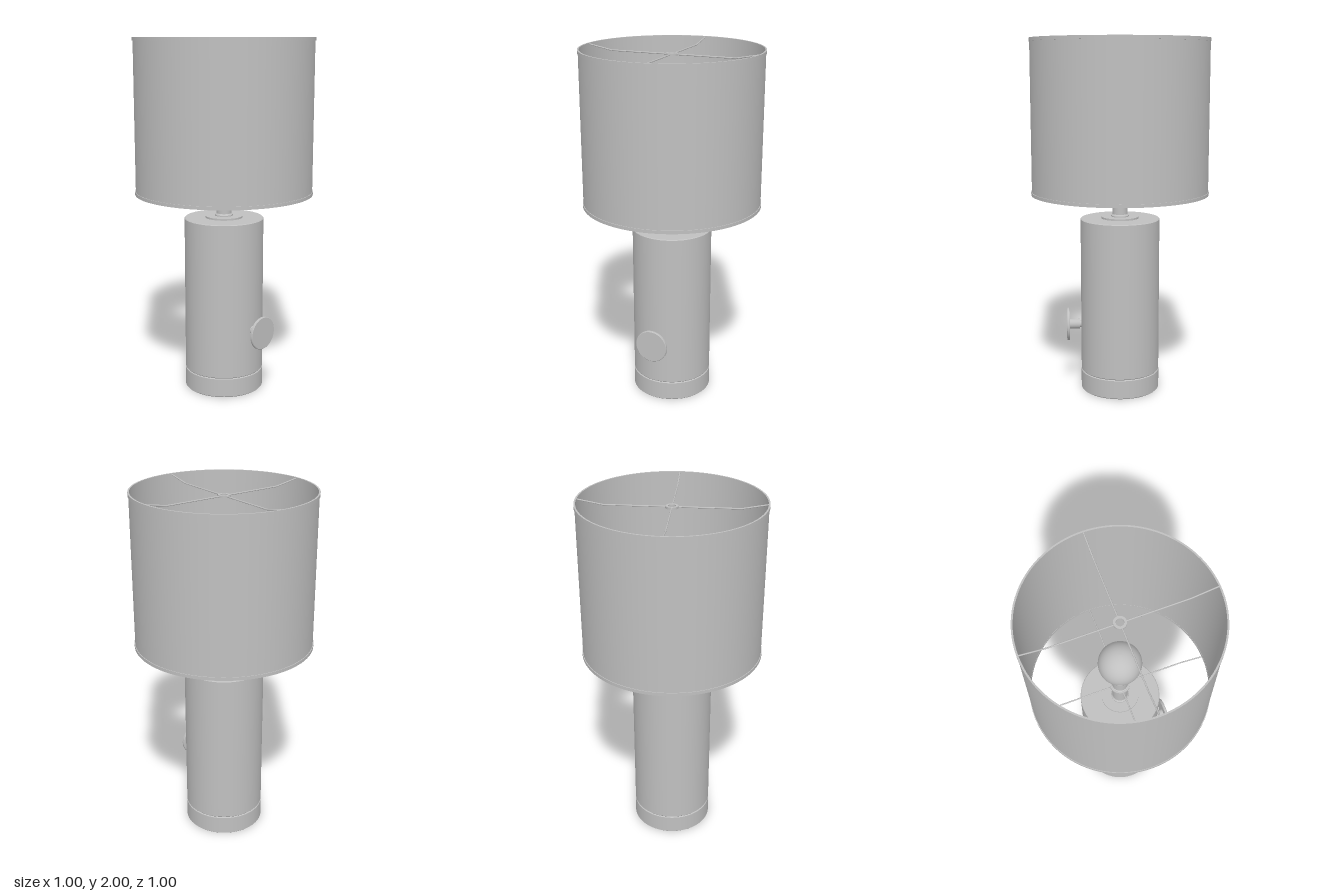
import * as THREE from 'three';

const grey = new THREE.MeshStandardMaterial({ color: 0xc0c0c0 });
grey.name = 'grey';

function add(parent, name, geometry, y = 0) {
  const mesh = new THREE.Mesh(geometry, grey);
  mesh.name = name;
  mesh.position.y = y;
  parent.add(mesh);
  return mesh;
}

// Turned solid with crisp edges: doubled profile points split the normals
function turned(points, segments = 64) {
  const profile = [];
  points.forEach(([r, y], i) => {
    profile.push(new THREE.Vector2(r, y));
    if (i > 0 && i < points.length - 1) profile.push(new THREE.Vector2(r, y));
  });
  return new THREE.LatheGeometry(profile, segments);
}

// Closed tube wall: outer radius, inner radius, bottom and top
function sleeve(outer, inner, y0, y1, segments = 96) {
  return turned([[inner, y0], [outer, y0], [outer, y1], [inner, y1], [inner, y0]], segments);
}

// Four bent wires around a hub ring; the ends rise or fall to the shade rim
function makeSpider(name, hubY, endY, hubOuter, hubInner) {
  const spider = new THREE.Group();
  spider.name = name;
  add(spider, 'hubRing', sleeve(hubOuter, hubInner, hubY - 0.006, hubY + 0.006, 32));
  const path = new THREE.CurvePath();
  const hub = new THREE.Vector3(hubInner + 0.005, hubY, 0);
  const bend = new THREE.Vector3(0.355, hubY, 0);
  const end = new THREE.Vector3(0.491, endY, 0);
  path.add(new THREE.LineCurve3(hub, bend));
  path.add(new THREE.LineCurve3(bend, end));
  const wire = new THREE.TubeGeometry(path, 24, 0.004, 8);
  for (let i = 0; i < 4; i++) {
    add(spider, 'spiderWire', wire).rotation.y = i * Math.PI / 2;
  }
  return spider;
}

export function createModel() {
  const lamp = new THREE.Group();
  lamp.name = 'tableLamp';

  // Base band and column, with a fine groove between them
  add(lamp, 'baseBand', turned([[0, 0], [0.22, 0], [0.225, 0.005], [0.225, 0.108], [0.22, 0.113], [0, 0.113]]));
  add(lamp, 'column', turned([[0, 0.112], [0.22, 0.112], [0.224, 0.117], [0.224, 0.996], [0.22, 1], [0, 1]]));

  // Neck flange, stem and socket
  add(lamp, 'neckFlange', turned([[0, 1], [0.105, 1], [0.105, 1.01], [0, 1.01]]));
  add(lamp, 'neck', turned([[0.05, 1.01], [0.05, 1.016], [0.043, 1.024], [0.043, 1.16], [0.049, 1.165],
    [0.049, 1.18], [0.043, 1.185], [0.043, 1.25], [0.05, 1.255], [0.05, 1.275], [0, 1.285]], 40));

  // Bulb: flared neck running into a round top
  const bulb = [[0.044, 1.27], [0.05, 1.3], [0.07, 1.355], [0.095, 1.415]].map(p => new THREE.Vector2(...p));
  for (let i = 0; i <= 14; i++) {
    const a = -0.4 + (Math.PI / 2 + 0.4) * i / 14;
    bulb.push(new THREE.Vector2(Math.max(0, 0.115 * Math.cos(a)), 1.475 + 0.115 * Math.sin(a)));
  }
  add(lamp, 'bulb', new THREE.LatheGeometry(bulb, 48));

  // Drum shade with a hem at each end
  add(lamp, 'shade', sleeve(0.495, 0.491, 1.145, 1.995));
  add(lamp, 'lowerHem', sleeve(0.499, 0.49, 1.14, 1.158));
  add(lamp, 'upperHem', sleeve(0.499, 0.49, 1.982, 2));
  lamp.add(makeSpider('upperSpider', 1.968, 1.993, 0.033, 0.02));
  lamp.add(makeSpider('lowerSpider', 1.172, 1.147, 0.056, 0.043));

  // Front knob, turned along z
  const knob = new THREE.Group();
  knob.name = 'knob';
  add(knob, 'knobNeck', turned([[0.02, 0.215], [0.02, 0.232], [0.028, 0.232], [0.028, 0.292]], 32));
  add(knob, 'knobDisc', turned([[0, 0.291], [0.09, 0.291], [0.093, 0.294], [0.093, 0.304], [0.09, 0.307], [0, 0.307]]));
  knob.rotation.x = Math.PI / 2;
  knob.position.y = 0.38;
  lamp.add(knob);

  return lamp;
}
